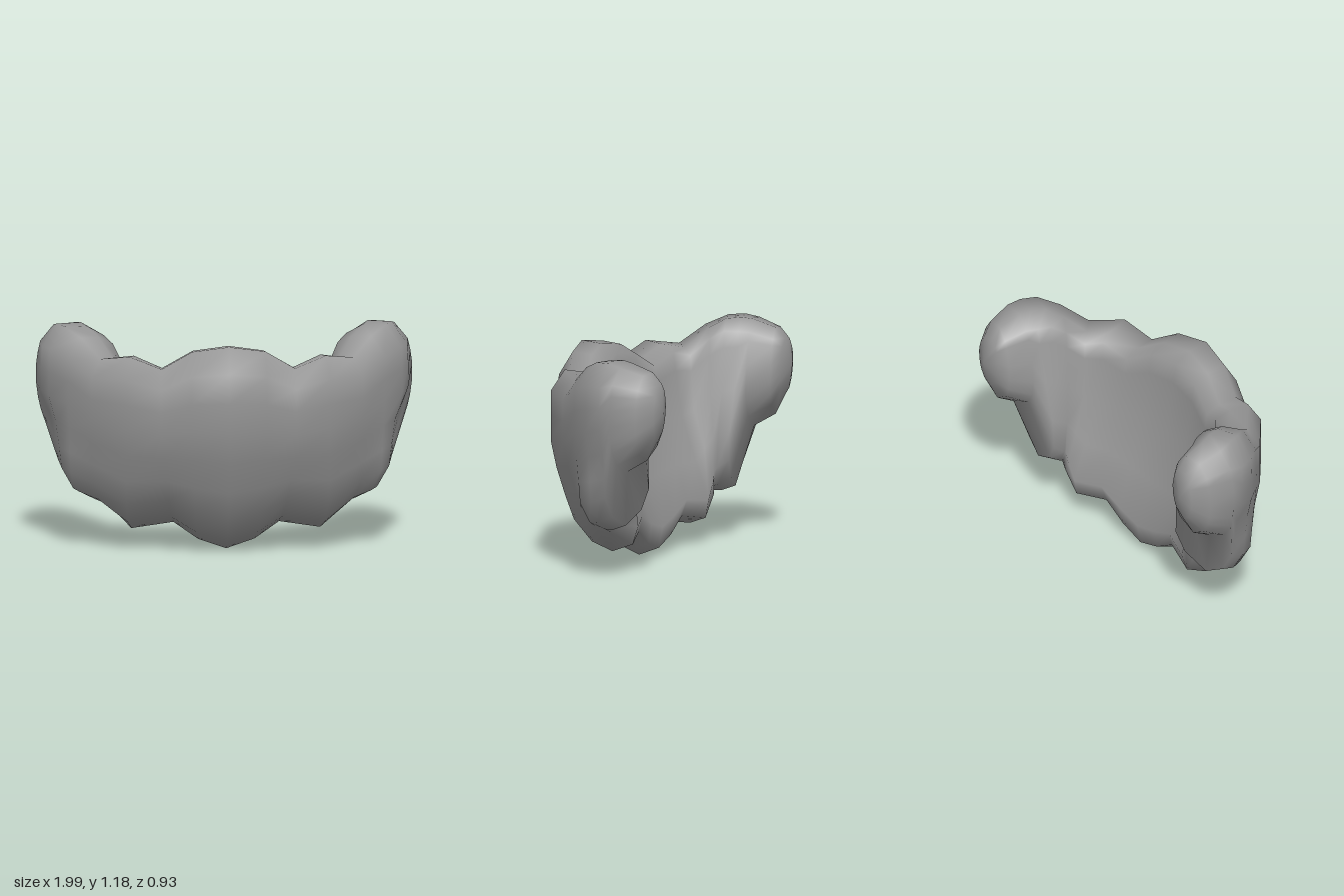
import * as THREE from 'three';

// Stations from the middle of the chin to the tip of the sideburn:
// outer plan point, inner plan point, top y, bottom y, plan point of the lower edge,
// roundness, lean power (small = sharp step under the sideburn)
const HALF = [
  { o: [0, 0.465], i: [0, 0.16], top: 1.13, low: 0, b: [0, 0.05], r: 0, p: 1.3 },
  { o: [0.2, 0.425], i: [0.18, 0.14], top: 1.1, low: 0.05, b: [0.15, 0.04], r: 0, p: 1.3 },
  { o: [0.36, 0.37], i: [0.34, 0.1], top: 1.0, low: 0.14, b: [0.28, 0.03], r: 0, p: 1.3 },
  { o: [0.54, 0.32], i: [0.47, 0.05], top: 1.06, low: 0.1, b: [0.5, -0.02], r: 0, p: 1.3 },
  { o: [0.72, 0.17], i: [0.54, -0.01], top: 1.03, low: 0.22, b: [0.62, -0.07], r: 0, p: 1.1 },
  { o: [0.84, 0.05], i: [0.58, -0.1], top: 1.13, low: 0.25, b: [0.69, -0.06], r: 0.1, p: 0.8 },
  { o: [0.94, -0.06], i: [0.62, -0.16], top: 1.18, low: 0.25, b: [0.7, -0.11], r: 0.2, p: 0.5 },
  { o: [0.98, -0.15], i: [0.64, -0.23], top: 1.19, low: 0.28, b: [0.71, -0.19], r: 0.35, p: 0.4 },
  { o: [1.0, -0.23], i: [0.66, -0.28], top: 1.18, low: 0.59, b: [0.82, -0.25], r: 0.75, p: 1 },
  { o: [0.96, -0.36], i: [0.7, -0.4], top: 1.14, low: 0.66, b: [0.83, -0.37], r: 0.9, p: 1 },
  { o: [0.9, -0.44], i: [0.74, -0.44], top: 1.08, low: 0.77, b: [0.82, -0.43], r: 1, p: 1 },
];

// Section outline: depth from outer to inner face, height from lower to upper edge
const SECTION = [
  [0, 0.6], [0, 0.74], [0, 0.88], [0.27, 1], [0.65, 0.99], [0.95, 0.95], [1, 0.85], [1.15, 0.6],
  [1.22, 0.35], [1.2, 0.14], [0.95, 0.04], [0.5, 0], [0.18, 0.05], [0, 0.17], [0, 0.3], [0, 0.45],
];

const mix = THREE.MathUtils.lerp;

// One closed ring; the lower part leans back towards the throat
function ring(s, side) {
  return SECTION.map(([a, h]) => {
    const len = Math.hypot(a - 0.5, h - 0.5);
    const depth = mix(a, 0.5 + (a - 0.5) / len / 2, s.r);
    const height = mix(h, 0.5 + (h - 0.5) / len / 2, s.r);
    const lean = Math.pow(Math.max(0, 0.6 - height) / 0.6, s.p);
    const at = (k) => mix(s.o[k], s.i[k], depth) + (s.b[k] - (s.o[k] + s.i[k]) / 2) * lean;
    return [side * at(0), mix(s.low, s.top, height), at(1)];
  });
}

// Skin the rings and close both sideburn tips
function loft(rings) {
  const n = SECTION.length;
  const pos = rings.flat(2);
  const index = [];
  for (let i = 0; i < rings.length - 1; i++) {
    for (let j = 0; j < n; j++) {
      const k = (j + 1) % n;
      const a = i * n + j, b = a + n, c = (i + 1) * n + k, d = i * n + k;
      index.push(a, b, c, a, c, d);
    }
  }
  const first = pos.length / 3;
  pos.push(-0.83, 0.92, -0.465, 0.83, 0.92, -0.465);
  const last = (rings.length - 1) * n;
  for (let j = 0; j < n; j++) {
    const k = (j + 1) % n;
    index.push(first, j, k, first + 1, last + k, last + j);
  }
  const g = new THREE.BufferGeometry();
  g.setAttribute('position', new THREE.Float32BufferAttribute(pos, 3));
  g.setIndex(index);
  g.computeVertexNormals();
  return g;
}

export function createModel() {
  const group = new THREE.Group();
  group.name = 'beardModel';
  const grey = new THREE.MeshStandardMaterial({ color: 0x969696 });
  grey.name = 'hairGrey';

  // Beard: right half mirrored, then left half
  const right = HALF.slice(1).reverse().map((s) => ring(s, -1));
  const left = HALF.map((s) => ring(s, 1));
  const beard = new THREE.Mesh(loft([...right, ...left]), grey);
  beard.name = 'beard';
  group.add(beard);
  return group;
}
